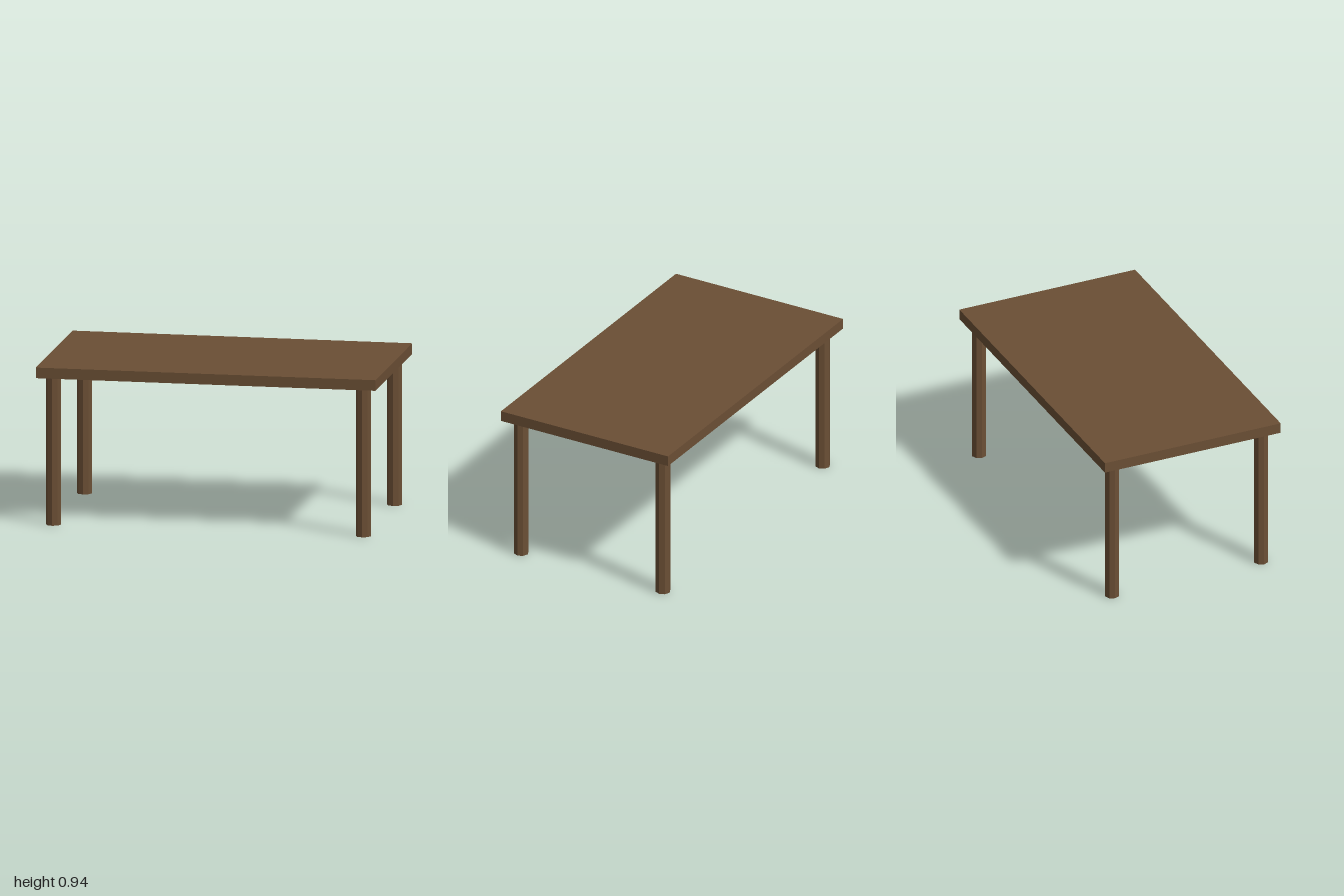
import * as THREE from 'three';

export function createModel() {
  const group = new THREE.Group();
  group.name = 'table';

  const wood = new THREE.MeshStandardMaterial({ color: 0x6b4f35, flatShading: true });
  wood.name = 'brown wood';

  const height = 0.9375, thickness = 0.0625;
  const legHeight = height - thickness;

  // Table top
  const top = new THREE.Mesh(new THREE.BoxGeometry(2, thickness, 1.12), wood);
  top.name = 'tableTop';
  top.position.y = height - thickness / 2;
  group.add(top);

  // Four eight-sided legs, set in from the corners
  const legGeometry = new THREE.CylinderGeometry(0.0435, 0.0435, legHeight, 8);
  for (const [zName, z] of [['front', 0.475], ['back', -0.475]]) {
    for (const [xName, x] of [['Left', 0.9125], ['Right', -0.9125]]) {
      const leg = new THREE.Mesh(legGeometry, wood);
      leg.name = `${zName}${xName}Leg`;
      leg.position.set(x, legHeight / 2, z);
      group.add(leg);
    }
  }

  return group;
}
